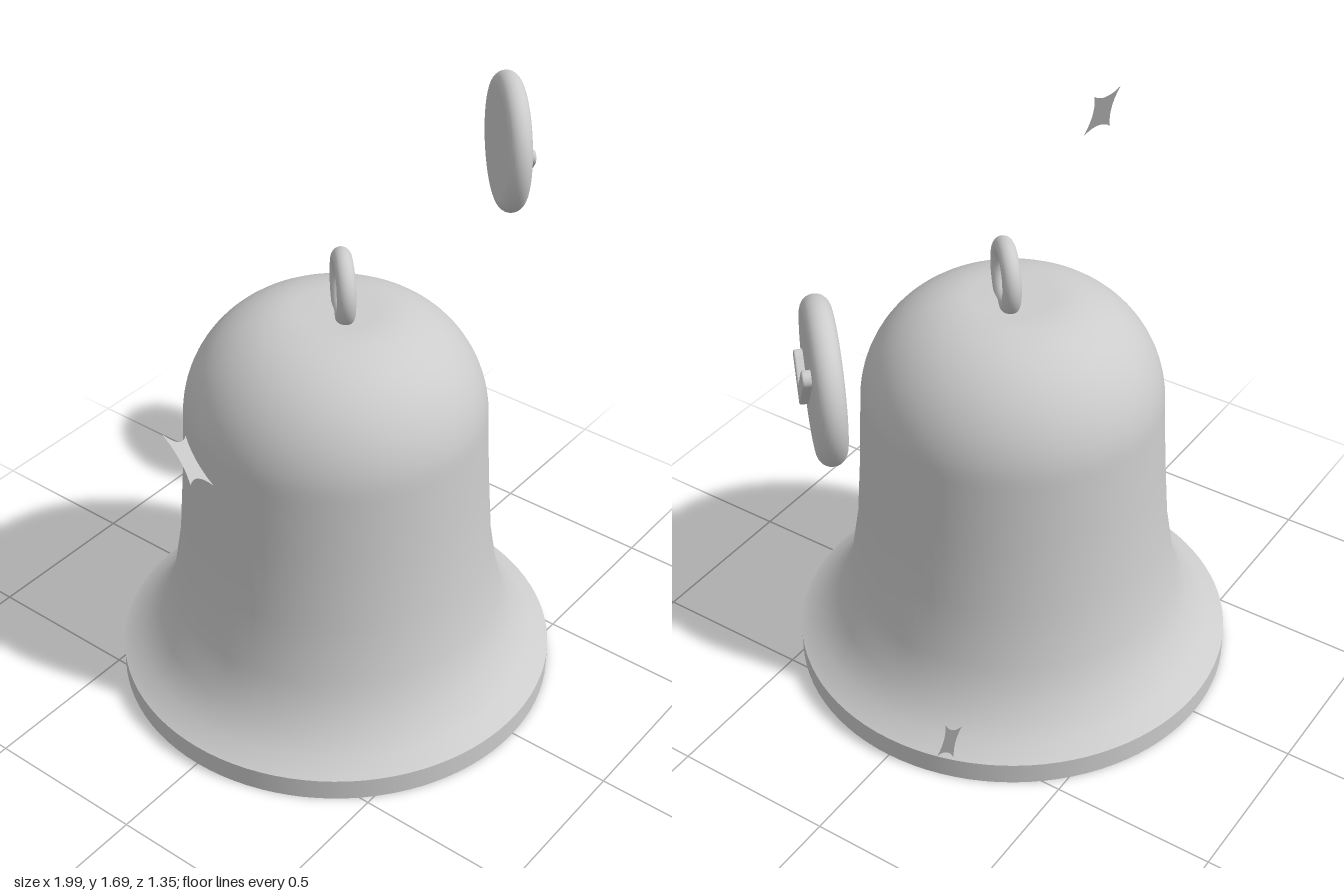
import * as THREE from 'three';

const grey = new THREE.MeshStandardMaterial({ color: 0xcccccc });
grey.name = 'grey';
const greyThin = grey.clone(); // same colour, for the flat stars
greyThin.side = THREE.DoubleSide;

function part(name, geometry, parent, material = grey) {
  const mesh = new THREE.Mesh(geometry, material);
  mesh.name = name;
  parent.add(mesh);
  return mesh;
}

const points = (list) => list.map(([x, y]) => new THREE.Vector2(x, y));

// Points on a quarter or half ellipse
function arc(cx, cy, rx, ry, from, to, steps) {
  return Array.from({ length: steps + 1 }, (_, i) => {
    const a = from + ((to - from) * i) / steps;
    return [cx + rx * Math.cos(a), cy + ry * Math.sin(a)];
  });
}

function createBell() {
  const bell = new THREE.Group();
  bell.name = 'bell';
  bell.position.x = -0.013;
  const R = 0.676, rimHeight = 0.07;

  // Flat base and upright rim
  part('base', new THREE.CircleGeometry(R, 96).rotateX(Math.PI / 2), bell);
  part('rim', new THREE.CylinderGeometry(R, R, rimHeight, 96, 1, true), bell).position.y = rimHeight / 2;

  // Flared skirt rising into a rounded dome
  const profile = [
    [R, rimHeight], [0.618, 0.105], [0.553, 0.18], [0.508, 0.3], [0.477, 0.49], [0.46, 0.72],
    ...arc(0.12, 0.92, 0.33, 0.35, 0, Math.PI / 2, 16),
    [0, 1.27],
  ];
  part('body', new THREE.LatheGeometry(points(profile), 96), bell);
  return bell;
}

function createBadge() {
  const badge = new THREE.Group();
  badge.name = 'badge';
  badge.position.set(0.829, 1.468, 0.012);
  badge.rotation.y = Math.PI / 4;

  // Coin with a rounded edge
  const half = 0.038, flat = 0.1795;
  const profile = [
    [0, -half], [flat - 0.004, -half],
    ...arc(flat, 0, half, half, -Math.PI / 2, Math.PI / 2, 14),
    [flat - 0.004, half], [0, half],
  ];
  part('coin', new THREE.LatheGeometry(points(profile), 72).rotateX(Math.PI / 2), badge);

  // Tick: two round-ended strokes meeting at a right angle, drawn flat then turned 45 degrees
  const w = 0.018, short = 0.095, long = 0.212;
  const tick = new THREE.Shape();
  tick.moveTo(-w, -w);
  tick.lineTo(long, -w);
  tick.absarc(long, 0, w, -Math.PI / 2, Math.PI / 2, false);
  tick.lineTo(w, w);
  tick.lineTo(w, short);
  tick.absarc(0, short, w, 0, Math.PI, false);
  tick.lineTo(-w, -w);
  const tickGeometry = new THREE.ExtrudeGeometry(tick, {
    depth: 0.018, bevelThickness: 0.005, bevelSize: 0.004, bevelSegments: 3, curveSegments: 10,
  });
  const mark = part('tick', tickGeometry, badge);
  mark.rotation.z = Math.PI / 4;
  mark.position.set(-0.044, -0.067, half);
  return badge;
}

// Flat four-pointed star with concave sides, tilted towards the front left
function createStar(name, radius, x, y, z, parent) {
  const shape = new THREE.Shape();
  shape.moveTo(radius, 0);
  for (let i = 1; i <= 4; i++) {
    const a = (i * Math.PI) / 2, mid = a - Math.PI / 4, c = 0.31 * radius;
    shape.quadraticCurveTo(c * Math.cos(mid), c * Math.sin(mid), radius * Math.cos(a), radius * Math.sin(a));
  }
  const star = part(name, new THREE.ShapeGeometry(shape, 10), parent, greyThin);
  star.position.set(x, y, z);
  star.lookAt(x + 1, y + 1, z + 1);
}

export function createModel() {
  const model = new THREE.Group();
  model.name = 'notificationBell';
  model.add(createBell());

  // Hanging ring sunk into the dome
  const ring = part('hangingRing', new THREE.TorusGeometry(0.0865, 0.0275, 20, 56), model);
  ring.position.set(0.004, 1.345, 0.012);
  ring.rotation.y = Math.PI / 4;

  model.add(createBadge());
  createStar('largeStar', 0.1025, -0.928, 1.392, 0.26, model);
  createStar('smallStar', 0.06, 0.894, 0.48, -0.394, model);
  return model;
}
